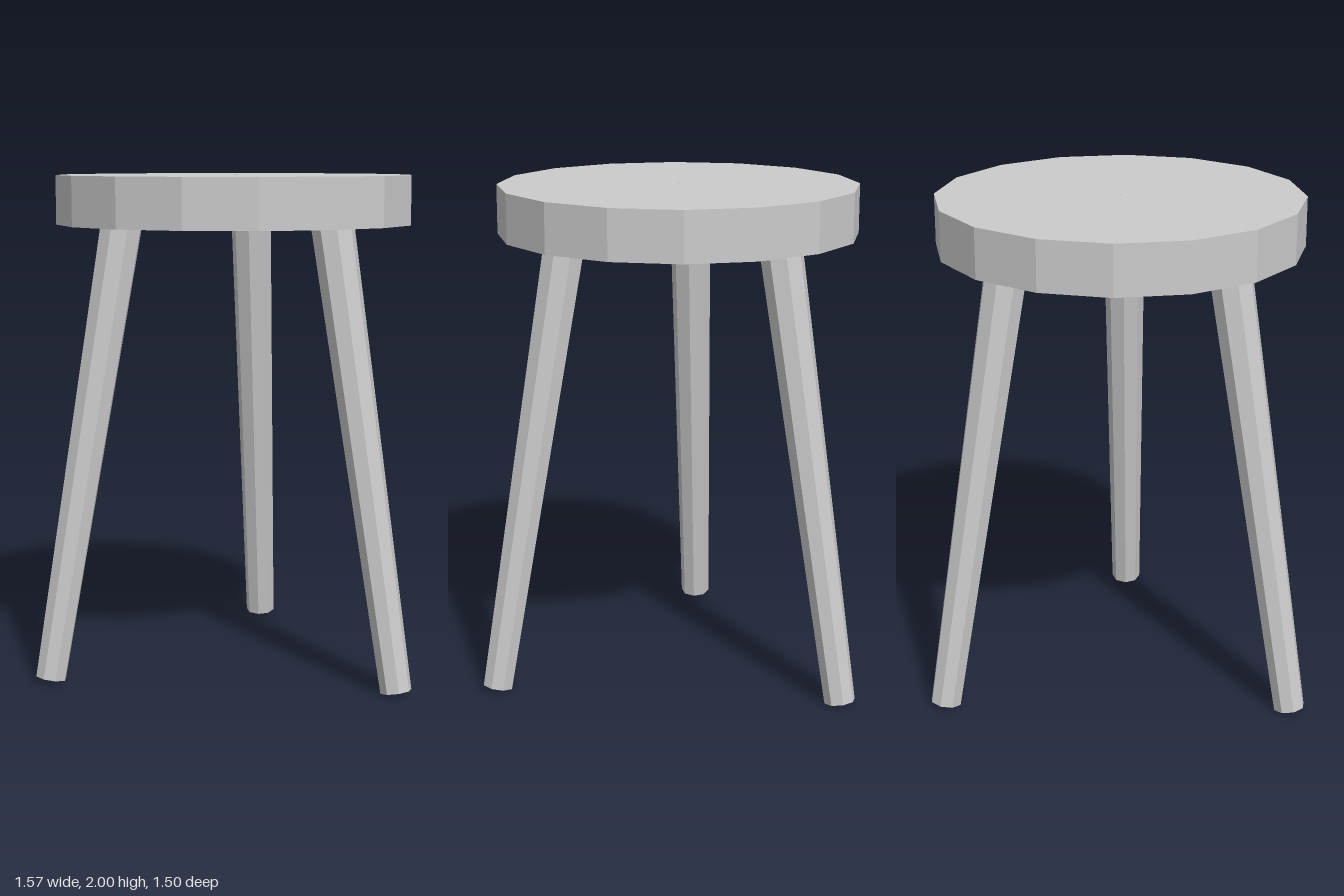
import * as THREE from 'three';

const material = new THREE.MeshStandardMaterial({ color: 0xcccccc, flatShading: true });

function createLeg() {
  // Tapered eight-sided leg, leaning inwards from foot to seat
  const foot = new THREE.Vector2(0.795, 0.011);
  const top = new THREE.Vector2(0.48, 1.805);
  const axis = top.clone().sub(foot);
  const leg = new THREE.Mesh(new THREE.CylinderGeometry(0.085, 0.062, axis.length(), 8), material);
  leg.position.set((foot.x + top.x) / 2, (foot.y + top.y) / 2, 0);
  leg.rotation.z = Math.atan2(-axis.x, axis.y);
  return leg;
}

export function createModel() {
  const stool = new THREE.Group();
  stool.name = 'stool';
  stool.position.x = -0.075;

  // Sixteen-sided round seat with a pinhole through its centre
  const profile = [[0.006, 1.805], [0.715, 1.805], [0.715, 2], [0.006, 2], [0.006, 1.805]]
    .map(([r, y]) => new THREE.Vector2(r, y));
  const seat = new THREE.Mesh(new THREE.LatheGeometry(profile, 16), material);
  seat.name = 'seat';
  stool.add(seat);

  // Three legs spread evenly around the seat
  ['leftLeg', 'backRightLeg', 'frontRightLeg'].forEach((name, i) => {
    const pivot = new THREE.Group();
    pivot.name = name;
    pivot.rotation.y = (i * Math.PI * 2) / 3;
    pivot.add(createLeg());
    stool.add(pivot);
  });

  const model = new THREE.Group();
  model.add(stool);
  return model;
}
